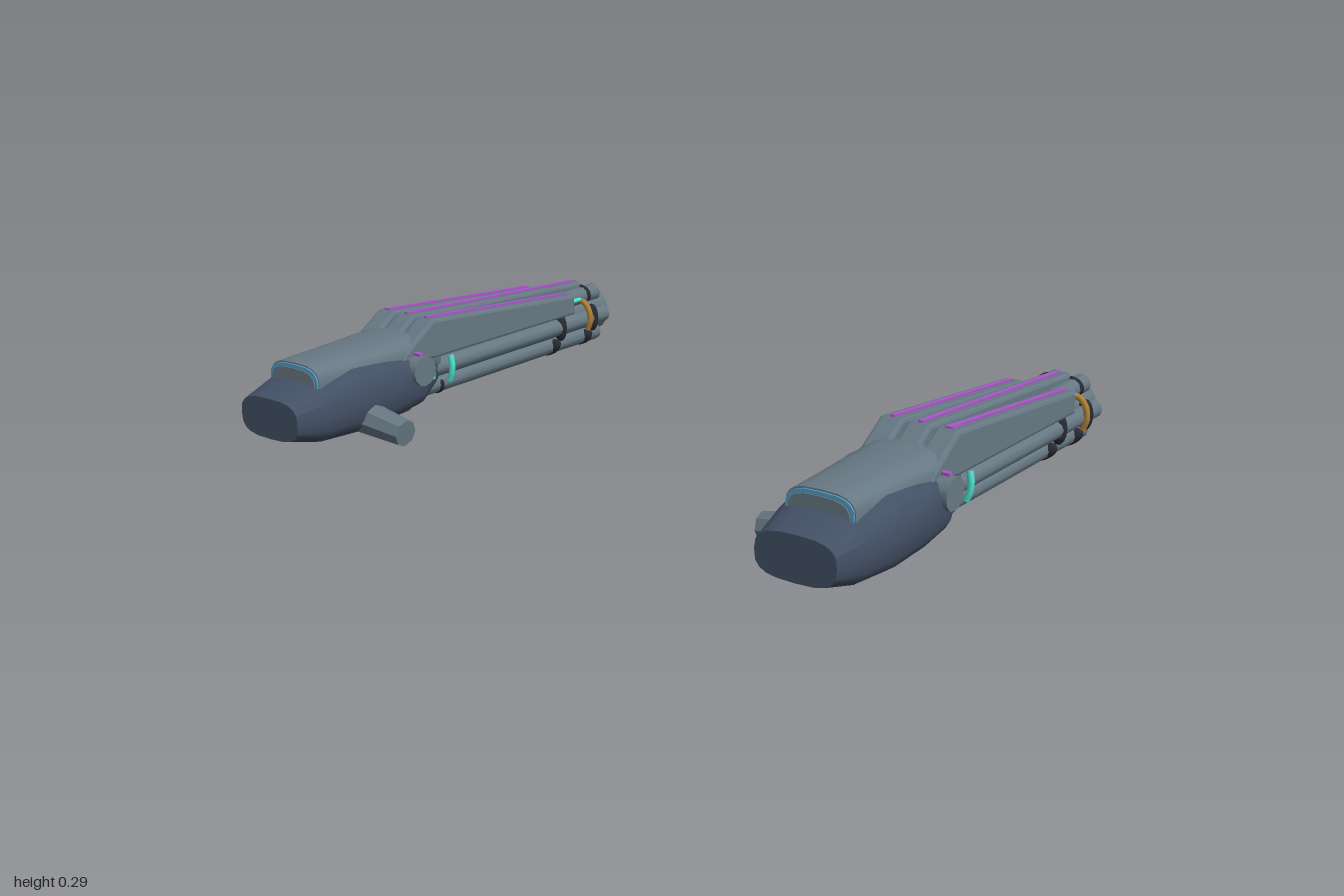
import * as THREE from 'three';
import { toCreasedNormals } from 'three/addons/utils/BufferGeometryUtils.js';

const mat = (name, color) => Object.assign(new THREE.MeshStandardMaterial({ color }), { name });
const HULL = mat('navy hull', 0x435065);
const GREY = mat('steel grey', 0x677984);
const DARK = mat('near black', 0x2a2b33);
const PURPLE = mat('purple', 0xaa58c8);
const GOLD = mat('gold', 0xb08038);
const TEAL = mat('teal', 0x50f0d8);
const BLUE = mat('light blue', 0x5a9cc4);

const AXIS_Y = 0.133; // height of the barrel axis

function add(group, name, geometry, material, x = 0, y = 0, z = 0) {
  const mesh = new THREE.Mesh(geometry, material);
  mesh.name = name;
  mesh.position.set(x, y, z);
  group.add(mesh);
  return mesh;
}

// Closed body along x; each section is [x, halfWidth, bottom, top], rounded as a superellipse
function loft(sections, power, sides = 20) {
  const pos = [], index = [], n = sections.length;
  const round = v => Math.sign(v) * Math.abs(v) ** (2 / power);
  for (const [x, w, lo, hi] of sections) {
    for (let j = 0; j < sides; j++) {
      const t = (j / sides) * Math.PI * 2;
      pos.push(x, (lo + hi) / 2 + round(Math.sin(t)) * (hi - lo) / 2, round(Math.cos(t)) * w);
    }
  }
  for (const [x, , lo, hi] of [sections[0], sections[n - 1]]) pos.push(x, (lo + hi) / 2, 0);
  for (let j = 0; j < sides; j++) {
    const k = (j + 1) % sides, end = (n - 1) * sides;
    for (let i = 0; i < n - 1; i++) {
      const a = i * sides + j, b = i * sides + k;
      index.push(a, a + sides, b, b, a + sides, b + sides);
    }
    index.push(n * sides, j, k, n * sides + 1, end + k, end + j);
  }
  const g = new THREE.BufferGeometry();
  g.setAttribute('position', new THREE.Float32BufferAttribute(pos, 3));
  g.setIndex(index);
  return toCreasedNormals(g, 0.5);
}

// Cylinder lying along x
const rod = (r, x0, x1, sides) =>
  new THREE.CylinderGeometry(r, r, x1 - x0, sides).rotateZ(-Math.PI / 2).translate((x0 + x1) / 2, 0, 0);

// Band hugging one flank of the barrel; points are [y, z]
const band = (points, flank) => new THREE.TubeGeometry(
  new THREE.CatmullRomCurve3(points.map(([y, z]) => new THREE.Vector3(0, y, z * flank))), 20, 0.009, 8);

// Sloping top rail ending at x = end, slightly wider towards the rear
function rail(end, endTop) {
  const shape = new THREE.Shape([
    [-0.29, 0.19], [-0.27, 0.215], [-0.155, 0.287], [end, endTop], [end, 0.168], [-0.15, 0.172],
  ].map(p => new THREE.Vector2(...p)));
  const g = new THREE.ExtrudeGeometry(shape, {
    depth: 0.042, bevelThickness: 0.009, bevelSize: 0.009, bevelOffset: -0.009, bevelSegments: 2,
  }).translate(0, 0, -0.021);
  const p = g.attributes.position;
  for (let i = 0; i < p.count; i++) p.setZ(i, p.getZ(i) * (1.07 - 0.18 * p.getX(i)));
  g.computeVertexNormals();
  return g;
}

function createCannon(side) {
  const g = new THREE.Group();
  g.name = side > 0 ? 'frontCannon' : 'rearCannon';

  // Rear housing
  add(g, 'hull', loft([
    [-0.69, 0.11, 0.05, 0.165], [-0.59, 0.13, 0.024, 0.198], [-0.47, 0.148, 0.02, 0.225],
    [-0.33, 0.143, 0.025, 0.22], [-0.21, 0.128, 0.034, 0.212], [-0.13, 0.098, 0.075, 0.19],
  ], 3), HULL);
  add(g, 'topCover', loft([
    [-0.59, 0.095, 0.12, 0.243], [-0.45, 0.1, 0.12, 0.247], [-0.22, 0.112, 0.12, 0.254], [-0.12, 0.1, 0.12, 0.235],
  ], 3.2), GREY);
  // Glowing edge framing the rear face of the cover
  add(g, 'coverGlow', loft([[-0.595, 0.092, 0.13, 0.239], [-0.587, 0.092, 0.13, 0.239]], 3.2), BLUE);
  add(g, 'coverEnd', loft([[-0.598, 0.083, 0.13, 0.229], [-0.59, 0.083, 0.13, 0.229]], 3.2), GREY);
  add(g, 'keel', loft([
    [-0.59, 0.06, 0.016, 0.07], [-0.4, 0.08, 0.008, 0.07], [-0.215, 0.07, 0, 0.07],
  ], 1.4, 12), GREY);

  // Mounting arm on the inner side
  const arm = add(g, 'mountArm', toCreasedNormals(new THREE.CylinderGeometry(0.038, 0.049, 0.16, 8), 0.4),
    GREY, -0.435, 0.06, -side * 0.178);
  arm.rotation.x = -side * (Math.PI / 2 + 0.13);

  // Side pivots
  add(g, 'pivot', new THREE.CylinderGeometry(0.043, 0.043, 0.294, 12).rotateX(Math.PI / 2), GREY, -0.235, 0.16, 0);

  // Barrel cluster: core, six rods and their clamps
  add(g, 'barrelCore', rod(0.064, -0.3, 0.61, 20), GREY, 0, AXIS_Y, 0);
  for (let i = 0; i < 6; i++) {
    const a = (i * Math.PI) / 3, cy = Math.sin(a), cz = Math.cos(a);
    add(g, 'barrelRod', rod(0.027, -0.2, 0.655, 10), GREY, 0, AXIS_Y + cy * 0.074, cz * 0.074);
    const stations = cy < -0.1 ? [-0.155, -0.08, 0.435, 0.59] : cy > 0.1 ? [0.6] : [0.435, 0.59];
    for (const x of stations) {
      const size = x < 0 || cy > 0.1 ? 0.7 : 1;
      const clamp = add(g, 'clamp', new THREE.SphereGeometry(1, 10, 8), DARK, x, AXIS_Y + cy * 0.082, cz * 0.082);
      clamp.scale.set(0.018 * size, 0.044 * size, 0.023);
      clamp.rotation.x = -a;
    }
  }

  // Hollow muzzle
  const lathe = pts => toCreasedNormals(
    new THREE.LatheGeometry(pts.map(p => new THREE.Vector2(...p)), 16).rotateZ(-Math.PI / 2), 0.5);
  add(g, 'muzzle', lathe([[0.062, 0.58], [0.07, 0.61], [0.07, 0.685], [0.066, 0.69], [0.052, 0.69]]), GREY, 0, AXIS_Y, 0);
  add(g, 'muzzleLining', lathe([[0.052, 0.69], [0.046, 0.64]]), BLUE, 0, AXIS_Y, 0);
  add(g, 'muzzleFloor', lathe([[0.046, 0.64], [0.028, 0.64]]), GREY, 0, AXIS_Y, 0);
  add(g, 'muzzleCore', rod(0.028, 0.6, 0.66, 12), GREY, 0, AXIS_Y, 0);

  // Top rails with inlaid strips
  for (const k of [-1, 0, 1]) {
    const end = k ? 0.48 : 0.605, top = k ? 0.23 : 0.235, z = k * 0.077;
    add(g, 'topRail', rail(end, top), GREY, 0, 0, z);
    const slope = (top - 0.287) / (end + 0.155), from = -0.155, to = end - 0.018;
    const mid = (from + to) / 2;
    const strip = add(g, 'railStrip', new THREE.BoxGeometry(to - from, 0.009, 0.012), PURPLE,
      mid, 0.288 + slope * (mid + 0.155), z);
    strip.rotation.z = Math.atan(slope);
  }
  // Wider start of the outermost strip
  add(g, 'stripPad', new THREE.BoxGeometry(0.045, 0.008, 0.022), PURPLE, -0.13, 0.2845, side * 0.077).rotation.z = -0.09;

  // Flank details
  const goldPath = [[0.103, 0.094], [0.133, 0.104], [0.165, 0.099], [0.187, 0.082], [0.194, 0.05]];
  const tealPath = [[0.088, 0.094], [0.11, 0.102], [0.133, 0.105], [0.15, 0.103], [0.166, 0.099]];
  for (const f of [-1, 1]) {
    add(g, 'goldBand', band(goldPath, f), GOLD, 0.555, 0, 0);
    add(g, 'tealBand', band(tealPath, f), TEAL, -0.08, 0, 0);
    add(g, 'tealRod', rod(0.007, 0.46, 0.55, 8), TEAL, 0, 0.196, f * 0.066);
    add(g, 'tealLight', new THREE.BoxGeometry(0.008, 0.022, 0.008), TEAL, -0.168, 0.127, f * 0.113);
    add(g, 'pivotLight', new THREE.BoxGeometry(0.016, 0.008, 0.022), PURPLE, -0.235, 0.206, f * 0.122);
  }

  g.position.z = side * 0.849;
  return g;
}

export function createModel() {
  const model = new THREE.Group();
  model.name = 'twinCannons';
  model.add(createCannon(1), createCannon(-1));
  return model;
}
